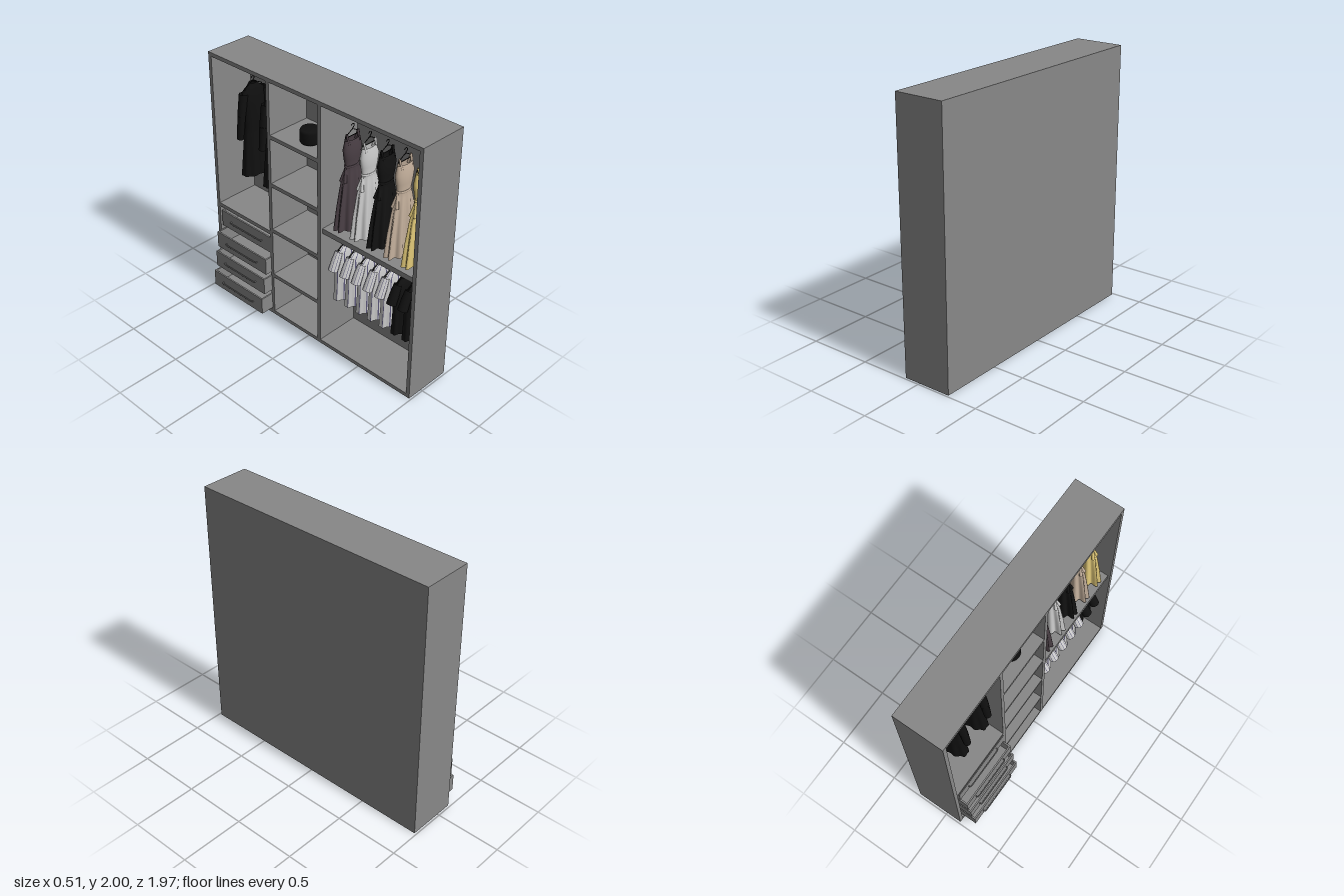
import * as THREE from 'three';

const grey = new THREE.MeshStandardMaterial({ color: 0x888888 });
const cloth = (color) => new THREE.MeshStandardMaterial({ color, side: THREE.DoubleSide });
const BLACK = cloth(0x101010), WHITE = cloth(0xf0eef0), NAVY = cloth(0x5a5678);
const HANG_X = 0.055; // depth at which the clothes hang

function add(parent, name, geometry, material = grey) {
  const mesh = new THREE.Mesh(geometry, material);
  mesh.name = name;
  parent.add(mesh);
  return mesh;
}

// Box given by its minimum and maximum corners
function slab(parent, name, x0, x1, y0, y1, z0, z1) {
  const mesh = add(parent, name, new THREE.BoxGeometry(x1 - x0, y1 - y0, z1 - z0));
  mesh.position.set((x0 + x1) / 2, (y0 + y1) / 2, (z0 + z1) / 2);
}

// Tapered tube between two points
function limb(parent, name, from, to, r0, r1, material) {
  const a = new THREE.Vector3(...from), b = new THREE.Vector3(...to);
  const mesh = add(parent, name, new THREE.CylinderGeometry(r1, r0, a.distanceTo(b), 18, 1, true), material);
  mesh.position.copy(a).lerp(b, 0.5);
  mesh.quaternion.setFromUnitVectors(new THREE.Vector3(0, 1, 0), b.sub(a).normalize());
}

// Cloth body lofted through oval rows [y, half width, half thickness, fold depth]
function clothBody(parent, name, rows, material, stripe) {
  const N = 63, pos = [], plain = [], striped = [];
  for (const [y, w, d, fold = 0] of rows) {
    for (let i = 0; i < N; i++) {
      const t = (i / N) * Math.PI * 2, k = fold * Math.cos(9 * t);
      pos.push(w * Math.cos(t) * (1 + k * 0.4), y, d * Math.sin(t) * (1 + k));
    }
  }
  for (let j = 0; j < rows.length - 1; j++) {
    for (let i = 0; i < N; i++) {
      const a = j * N + i, c = j * N + (i + 1) % N, b = a + N, d = c + N;
      (stripe && i % 7 === 0 ? striped : plain).push(a, c, b, b, c, d);
    }
  }
  const geometry = new THREE.BufferGeometry();
  geometry.setAttribute('position', new THREE.Float32BufferAttribute(pos, 3));
  geometry.setIndex([...plain, ...striped]);
  geometry.computeVertexNormals();
  geometry.setIndex(plain);
  add(parent, name, geometry, material);
  if (stripe) {
    const lines = geometry.clone();
    lines.setIndex(striped);
    add(parent, name + 'Stripes', lines, stripe);
  }
}

// Group for one garment on a wire hanger with a hook and sloping shoulders
function garment(parent, name, y, z, reach) {
  const g = new THREE.Group();
  g.name = name;
  g.position.set(HANG_X, y, z);
  parent.add(g);
  const wire = (pts, closed) => new THREE.TubeGeometry(
    new THREE.CatmullRomCurve3(pts.map(([x, h]) => new THREE.Vector3(x, h, 0)), closed, 'catmullrom', 0.2), 32, 0.003, 6, closed);
  add(g, 'hangerHook', wire([[0, 0.03], [0, 0.04], [0.015, 0.055], [0.012, 0.07], [0, 0.075], [-0.014, 0.065]], false), BLACK);
  add(g, 'hangerBar', wire([[0, 0.035], [reach, -0.01], [-reach, -0.01]], true), BLACK);
  return g;
}

function dress(parent, z, color) {
  const g = garment(parent, 'dress', 1.745, z, 0.07), m = cloth(color);
  clothBody(g, 'dressBody', [[-0.03, 0.07, 0.025], [-0.1, 0.085, 0.038], [-0.17, 0.075, 0.036], [-0.23, 0.06, 0.03],
    [-0.27, 0.075, 0.036, 0.06], [-0.38, 0.1, 0.044, 0.15], [-0.54, 0.125, 0.052, 0.22], [-0.71, 0.145, 0.06, 0.26]], m);
  for (const s of [-1, 1]) {
    for (const side of [-1, 1]) limb(g, 'strap', [s * 0.05, -0.06, side * 0.018], [s * 0.055, 0.012, 0], 0.008, 0.008, m);
    // Sash tails at the front edge of the waist
    limb(g, 'sashTail', [-0.06, -0.23, 0], [-0.085, -0.34, s * 0.02], 0.006, 0.012, m);
  }
  const sash = add(g, 'sash', new THREE.TorusGeometry(0.06, 0.009, 8, 32), m);
  sash.rotation.x = Math.PI / 2;
  sash.scale.y = 0.52;
  sash.position.y = -0.23;
}

function coat(parent, z) {
  const g = garment(parent, 'coat', 1.76, z, 0.09);
  clothBody(g, 'coatBody', [[0.03, 0.032, 0.025], [0.01, 0.045, 0.03], [-0.03, 0.1, 0.042], [-0.12, 0.1, 0.052], [-0.3, 0.085, 0.048],
    [-0.36, 0.09, 0.05], [-0.52, 0.105, 0.058, 0.06], [-0.7, 0.122, 0.066, 0.09]], BLACK);
  for (const s of [-1, 1]) {
    limb(g, 'upperSleeve', [s * 0.09, -0.035, 0], [s * 0.118, -0.2, 0], 0.034, 0.03, BLACK);
    limb(g, 'lowerSleeve', [s * 0.118, -0.2, 0], [s * 0.138, -0.38, 0], 0.03, 0.025, BLACK);
  }
}

function shirt(parent, z, material, stripe) {
  const g = garment(parent, 'shirt', 0.83, z, 0.09);
  clothBody(g, 'shirtBody', [[0.015, 0.035, 0.022], [0, 0.055, 0.03], [-0.03, 0.1, 0.038], [-0.12, 0.105, 0.045],
    [-0.26, 0.105, 0.046, 0.05], [-0.43, 0.112, 0.048, 0.1]], material, stripe);
  for (const s of [-1, 1]) {
    const sleeve = new THREE.Group();
    sleeve.name = 'shortSleeve';
    sleeve.position.set(s * 0.08, -0.025, 0);
    sleeve.rotation.z = s * 0.42;
    g.add(sleeve);
    clothBody(sleeve, 'sleeveCloth', [[0.01, 0.026, 0.028], [-0.06, 0.034, 0.034], [-0.14, 0.036, 0.036]], material, stripe);
  }
}

function drawer(parent, y, front) {
  const g = new THREE.Group();
  g.name = 'drawer';
  parent.add(g);
  const t = 0.012, h = 0.135, z0 = -0.935, z1 = -0.392, back = front + 0.33;
  slab(g, 'drawerFront', front, front + t, y, y + h, z0, z1);
  slab(g, 'drawerBack', back - t, back, y, y + h, z0, z1);
  slab(g, 'drawerSide', front + t, back - t, y, y + h, z0, z0 + t);
  slab(g, 'drawerSide', front + t, back - t, y, y + h, z1 - t, z1);
  slab(g, 'drawerBase', front + t, back - t, y, y + t, z0 + t, z1 - t);
  // Bent bar handle
  const path = [[0, -0.83], [-0.012, -0.83], [-0.017, -0.815], [-0.017, -0.505], [-0.012, -0.49], [0, -0.49]]
    .map(([x, z]) => new THREE.Vector3(front + x, y + 0.07, z));
  add(g, 'drawerHandle', new THREE.TubeGeometry(new THREE.CatmullRomCurve3(path, false, 'catmullrom', 0.1), 48, 0.005, 8));
}

export function createModel() {
  const model = new THREE.Group();
  model.name = 'openWardrobe';
  const X0 = -0.125, X1 = 0.257, XB = 0.235, Z = 0.985, T = 0.03;

  // Cabinet shell
  slab(model, 'backPanel', XB, X1, 0, 2, -Z, Z);
  slab(model, 'topPanel', X0, XB, 2 - T, 2, -Z, Z);
  slab(model, 'bottomPanel', X0, XB, 0, T, -Z, Z);
  slab(model, 'sidePanel', X0, XB, T, 2 - T, -Z, -Z + T);
  slab(model, 'sidePanel', X0, XB, T, 2 - T, Z - T, Z);
  const D1 = -0.4, D2 = 0.09;
  for (const z of [D1, D2]) slab(model, 'divider', X0, XB, T, 2 - T, z, z + T);

  // Shelves
  slab(model, 'drawerTopShelf', X0, XB, 0.725, 0.755, -Z + T, D1);
  for (const y of [0.38, 0.785, 1.175, 1.565]) slab(model, 'shelf', X0, XB, y - T, y, D1 + T, D2);
  slab(model, 'wideShelf', X0 + 0.02, XB, 0.97, 1.01, D2 + T, Z - T);

  // Drawers, each pulled out further towards the floor
  [[0.05, -0.235], [0.22, -0.206], [0.39, -0.183], [0.56, X0]].forEach(([y, x]) => drawer(model, y, x));

  // Clothes
  for (const z of [-0.73, -0.5]) coat(model, z);
  [0x4a3f45, 0xc9c9cc, 0x121212, 0xc4b09c, 0xe0c878].forEach((c, i) => dress(model, 0.24 + i * 0.153, c));
  for (let i = 0; i < 5; i++) shirt(model, 0.2 + i * 0.11, WHITE, NAVY);
  for (const z of [0.75, 0.85]) shirt(model, z, BLACK);

  // Round hat on the top cubby shelf
  const hat = add(model, 'hat', new THREE.LatheGeometry([[0, 0], [0.066, 0], [0.072, 0.01], [0.074, 0.085], [0.066, 0.104], [0, 0.108]]
    .map(([r, y]) => new THREE.Vector2(r, y)), 32), BLACK);
  hat.position.set(0.01, 1.565, -0.11);
  return model;
}
